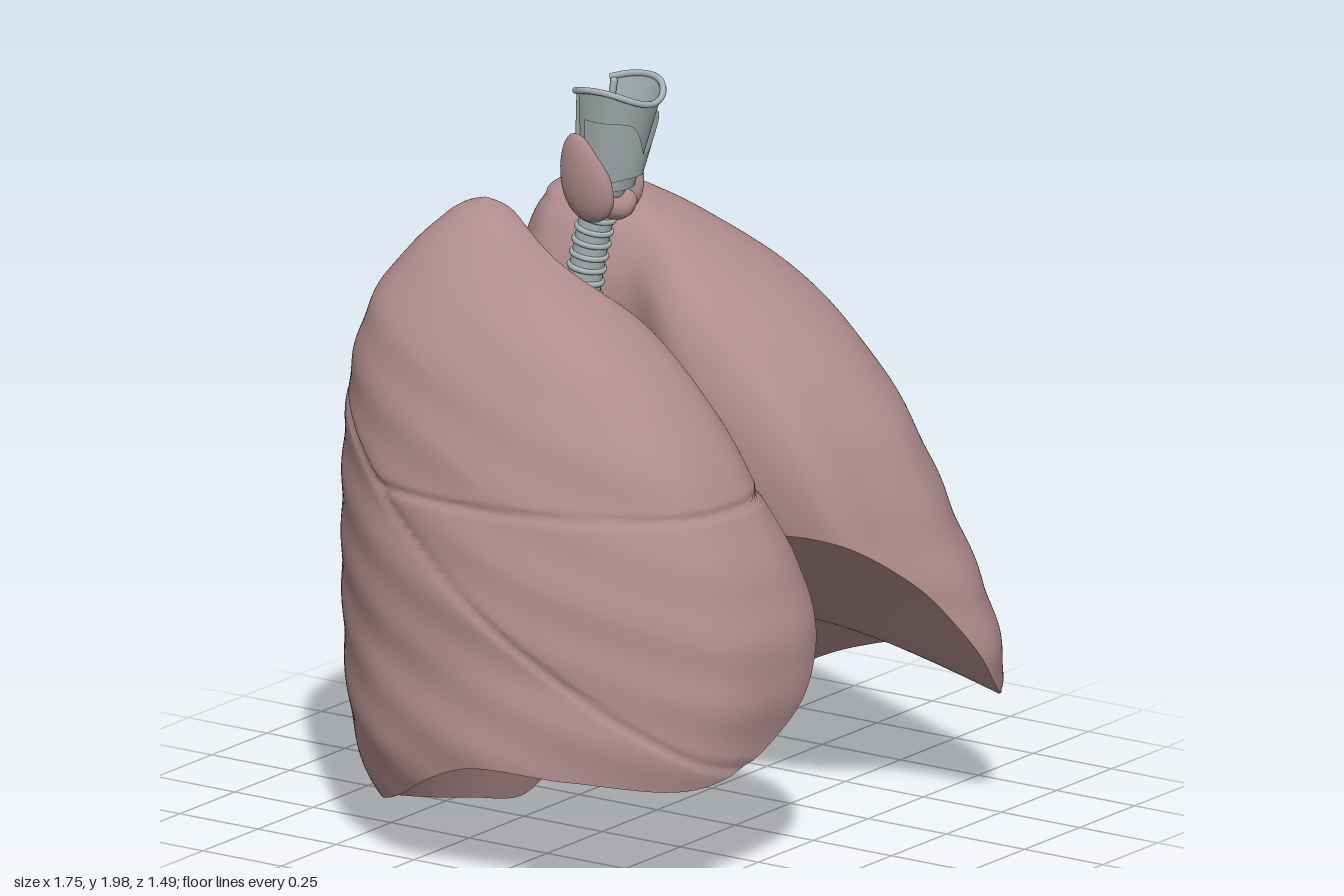
import * as THREE from 'three';
import { mergeGeometries } from 'three/addons/utils/BufferGeometryUtils.js';

const pink = new THREE.MeshStandardMaterial({ color: 0xb08c8c, side: THREE.DoubleSide });
const grey = new THREE.MeshStandardMaterial({ color: 0xa9b4b4, side: THREE.DoubleSide });
const { smoothstep, lerp } = THREE.MathUtils;

// Surface from rings: f(u, v) gives a point; u runs round, v from ring to ring
function loft(nu, nv, f, closed = true, flip = false) {
  const pos = [], idx = [], w = closed ? nu : nu + 1;
  for (let j = 0; j <= nv; j++)
    for (let i = 0; i < w; i++) pos.push(...f(i / nu, j / nv));
  for (let j = 0; j < nv; j++)
    for (let i = 0; i < nu; i++) {
      const k = (i + 1) % w, a = j * w + i, b = a + w, c = j * w + k, d = c + w;
      if (flip) idx.push(a, c, b, c, d, b);
      else idx.push(a, b, c, c, b, d);
    }
  const g = new THREE.BufferGeometry();
  g.setAttribute('position', new THREE.Float32BufferAttribute(pos, 3));
  g.setIndex(idx);
  g.computeVertexNormals();
  return g;
}

// levels: [y, medial x, lateral x, back z, front z]
// outline: [medial 0 to lateral 1, rim height, back 0 to front 1]
function lungGeometry({ levels, outline, dome, centre, hollow, fissure, flip }) {
  const extents = new THREE.CubicInterpolant(
    levels.map(l => l[0]), levels.flatMap(l => l.slice(1)), 4, new Float32Array(4));
  const loop = new THREE.CatmullRomCurve3(outline.map(p => new THREE.Vector3(...p)), true);
  const top = levels[levels.length - 1][0];
  const wall = (u, v) => {
    const p = loop.getPoint(u);
    const y = top + (p.y - top) * Math.pow(v, 1.3);
    const [m, l, b, f] = extents.evaluate(y);
    // the outline becomes a rounded oval towards the top
    const angle = Math.atan2(p.z - 0.5, p.x - 0.5), c = Math.cos(angle), s = Math.sin(angle);
    const oval = 0.5 / (Math.abs(c) ** 2.4 + Math.abs(s) ** 2.4) ** (1 / 2.4);
    const round = 0.85 * smoothstep(y, 0.95, 1.5);
    const px = lerp(p.x, 0.5 + c * oval, round), pz = lerp(p.z, 0.5 + s * oval, round);
    let x = m + (l - m) * px, z = b + (f - b) * pz;
    // hollow beside the windpipe
    x += Math.sign(l - m) * hollow[0] * Math.exp(-(((z - hollow[1]) / 0.15) ** 2))
      * smoothstep(y, 0.9, 1.15) * Math.max(0, 1 - 2 * px);
    // soft rib waves on the outside, grooves at the fissures
    const ribs = 0.003 * Math.sin((y + 0.35 * z) * 37) * Math.min(1, px * 1.5) * Math.min(1, (top - y) * 4);
    const groove = fissure(y, z).reduce((sum, d) => sum + 0.011 * Math.exp(-((d / 0.01) ** 2)), 0);
    const cx = (m + l) / 2, cz = (b + f) / 2;
    const r = Math.hypot(x - cx, z - cz) || 1, k = 1 + Math.max(-0.5, (ribs - groove) / r);
    return [cx + (x - cx) * k, y, cz + (z - cz) * k];
  };
  // hollow underside rising from the rim
  const base = (u, v) => {
    const [x, y, z] = wall(u, 1);
    return [x + (centre[0] - x) * v, y + (dome - y) * Math.sin(v * Math.PI / 2), z + (centre[1] - z) * v];
  };
  return mergeGeometries([loft(160, 130, wall, true, flip), loft(160, 20, base, true, flip)]);
}

const leftLung = {
  levels: [
    [-0.02, 0.2, 0.7, -0.42, 0.5], [0.1, 0.14, 0.82, -0.5, 0.6], [0.2, 0.13, 0.87, -0.54, 0.67],
    [0.4, 0.1, 0.85, -0.59, 0.735], [0.6, 0.07, 0.81, -0.62, 0.7], [0.8, -0.01, 0.78, -0.62, 0.63],
    [1.0, -0.04, 0.73, -0.61, 0.55], [1.2, -0.05, 0.67, -0.59, 0.41], [1.4, -0.03, 0.56, -0.55, 0.18],
    [1.5, 0.01, 0.47, -0.52, 0.01], [1.58, 0.06, 0.37, -0.47, -0.15], [1.62, 0.12, 0.29, -0.43, -0.26],
    [1.635, 0.2, 0.21, -0.35, -0.34]],
  outline: [
    [0.52, 0.03, 0], [0.2, 0.04, 0.07], [0.06, 0.08, 0.2], [0.1, 0.28, 0.39], [0.06, 0.46, 0.55],
    [0, 0.8, 0.75], [0.08, 0.81, 0.92], [0.28, 0.67, 0.97], [0.55, 0.33, 1], [0.74, 0.3, 0.92],
    [0.9, 0.34, 0.73], [1, 0.25, 0.46], [0.92, 0.11, 0.2], [0.76, 0.04, 0.06]],
  dome: 0.46, centre: [0.45, -0.02], hollow: [0.08, -0.14], flip: false,
  fissure: (y, z) => [y - (0.33 + (0.65 - z) * 0.47)],
};

const rightLung = {
  levels: [
    [-0.02, -0.1, -0.6, -0.5, 0.5], [0.1, -0.06, -0.78, -0.6, 0.56], [0.3, 0.02, -0.87, -0.68, 0.62],
    [0.6, 0.05, -0.84, -0.74, 0.66], [0.8, 0.02, -0.82, -0.74, 0.61], [1.0, -0.05, -0.77, -0.73, 0.51],
    [1.2, -0.08, -0.7, -0.7, 0.38], [1.4, -0.1, -0.59, -0.64, 0.15], [1.5, -0.13, -0.49, -0.59, -0.02],
    [1.6, -0.15, -0.36, -0.51, -0.24], [1.65, -0.18, -0.28, -0.45, -0.33], [1.67, -0.225, -0.23, -0.39, -0.38]],
  outline: [
    [0.39, 0.03, 0], [0.17, 0.01, 0.06], [0.08, 0.03, 0.2], [0.01, 0.2, 0.36], [0.1, 0.46, 0.51],
    [0.14, 0.72, 0.64], [0.13, 0.82, 0.9], [0.22, 0.66, 0.97], [0.42, 0.42, 1], [0.7, 0.3, 0.95],
    [0.92, 0.32, 0.74], [1, 0.33, 0.53], [0.92, 0.18, 0.28], [0.68, 0.1, 0.09]],
  dome: 0.56, centre: [-0.42, -0.05], hollow: [0.1, -0.12], flip: true,
  fissure: (y, z) => {
    const oblique = y - (0.35 + (0.6 - z) * 0.65);
    return oblique > 0 ? [oblique, y - 1.0] : [oblique];
  },
};

export function createModel() {
  const model = new THREE.Group();
  const add = (name, geometry, material, parent = model) => {
    const mesh = new THREE.Mesh(geometry, material);
    mesh.name = name;
    parent.add(mesh);
    return mesh;
  };
  add('leftLung', lungGeometry(leftLung), pink);
  add('rightLung', lungGeometry(rightLung), pink);

  // Windpipe with cartilage rings, and its two branches
  const airway = new THREE.Group();
  airway.name = 'windpipe';
  model.add(airway);
  const pipe = (name, points, radius, rings) => {
    const curve = new THREE.CatmullRomCurve3(points.map(p => new THREE.Vector3(...p)));
    add(name, new THREE.TubeGeometry(curve, 40, radius, 20), grey, airway);
    for (let i = 0; i < rings; i++) {
      const t = (i + 0.5) / rings;
      const ring = add(name + 'Ring', new THREE.TorusGeometry(radius, 0.008, 8, 24), grey, airway);
      ring.position.copy(curve.getPointAt(t));
      ring.quaternion.setFromUnitVectors(new THREE.Vector3(0, 0, 1), curve.getTangentAt(t));
    }
  };
  pipe('trachea', [[-0.04, 1.7, -0.14], [-0.048, 1.55, -0.175], [-0.058, 1.3, -0.215], [-0.065, 1.1, -0.24]], 0.046, 17);
  pipe('rightBronchus', [[-0.065, 1.13, -0.24], [-0.12, 1.04, -0.25], [-0.24, 0.95, -0.27]], 0.034, 5);
  pipe('leftBronchus', [[-0.065, 1.13, -0.24], [0.02, 1.05, -0.25], [0.16, 0.98, -0.27]], 0.032, 6);

  // Voice box: flared wall open at the back, shield plate in front, rim and horns
  const larynx = new THREE.Group();
  larynx.name = 'larynx';
  model.add(larynx);
  const shell = (grow, angle, low, high, point) => (u, v) => {
    const a = (u - 0.5) * 2 * angle, y0 = low(a), y = y0 + (high(a) - y0) * v;
    const s = (y - 1.7) / 0.27, c = Math.cos(a);
    return [-0.035 + Math.sin(a) * (0.07 + 0.035 * s + grow), y,
      -0.125 + 0.045 * s + c * (c < 0 ? 1.5 : 1) * (0.06 + 0.04 * s + grow) + point * Math.max(0, c) ** 6];
  };
  const rimHeight = a => 1.945 + 0.04 * Math.sin(a) ** 2;
  add('larynxWall', loft(40, 12, shell(0, 2.3, () => 1.7, rimHeight, 0), false), grey, larynx);
  add('shieldPlate', loft(40, 10, shell(0.008, 1.9, a => 1.71 + 0.03 * Math.cos(a),
    a => 1.9 - 0.1 * Math.exp(-((a / 0.4) ** 2)), 0.012), false), grey, larynx);
  const edge = shell(0.002, 2.3, rimHeight, rimHeight, 0);
  const rim = new THREE.CatmullRomCurve3(
    Array.from({ length: 17 }, (_, i) => new THREE.Vector3(...edge(i / 16, 0))));
  add('upperRim', new THREE.TubeGeometry(rim, 48, 0.009, 8), grey, larynx);
  for (const side of [-1, 1]) {
    const horn = add('rearHorn', new THREE.CapsuleGeometry(0.01, 0.24, 4, 10), grey, larynx);
    horn.position.set(-0.035 + side * 0.065, 1.84, -0.18);
    horn.rotation.set(0.1, 0, -side * 0.1);
  }
  const cricoid = add('lowerRing', new THREE.CylinderGeometry(0.066, 0.054, 0.12, 28, 1, true), grey, larynx);
  cricoid.position.set(-0.038, 1.69, -0.15);
  cricoid.rotation.x = 0.25;

  // Gland lobes hugging the voice box, joined by a low bridge
  const gland = new THREE.Group();
  gland.name = 'gland';
  model.add(gland);
  for (const side of [-1, 1]) {
    const lobe = new THREE.SphereGeometry(1, 28, 20);
    const p = lobe.attributes.position;
    for (let i = 0; i < p.count; i++) {
      const k = 1 - 0.25 * p.getY(i);
      p.setXYZ(i, p.getX(i) * 0.034 * k, p.getY(i) * 0.125, p.getZ(i) * 0.075 * k);
    }
    lobe.computeVertexNormals();
    const mesh = add('glandLobe', lobe, pink, gland);
    mesh.position.set(-0.04 + side * 0.076, 1.735, -0.15);
    mesh.rotation.set(-0.2, 0, -side * 0.14);
  }
  const bridge = new THREE.CatmullRomCurve3([[-0.11, 1.68, -0.13], [-0.08, 1.655, -0.1],
    [-0.04, 1.645, -0.09], [0, 1.655, -0.1], [0.03, 1.68, -0.13]].map(p => new THREE.Vector3(...p)));
  add('glandBridge', new THREE.TubeGeometry(bridge, 24, 0.03, 12), pink, gland);
  return model;
}
